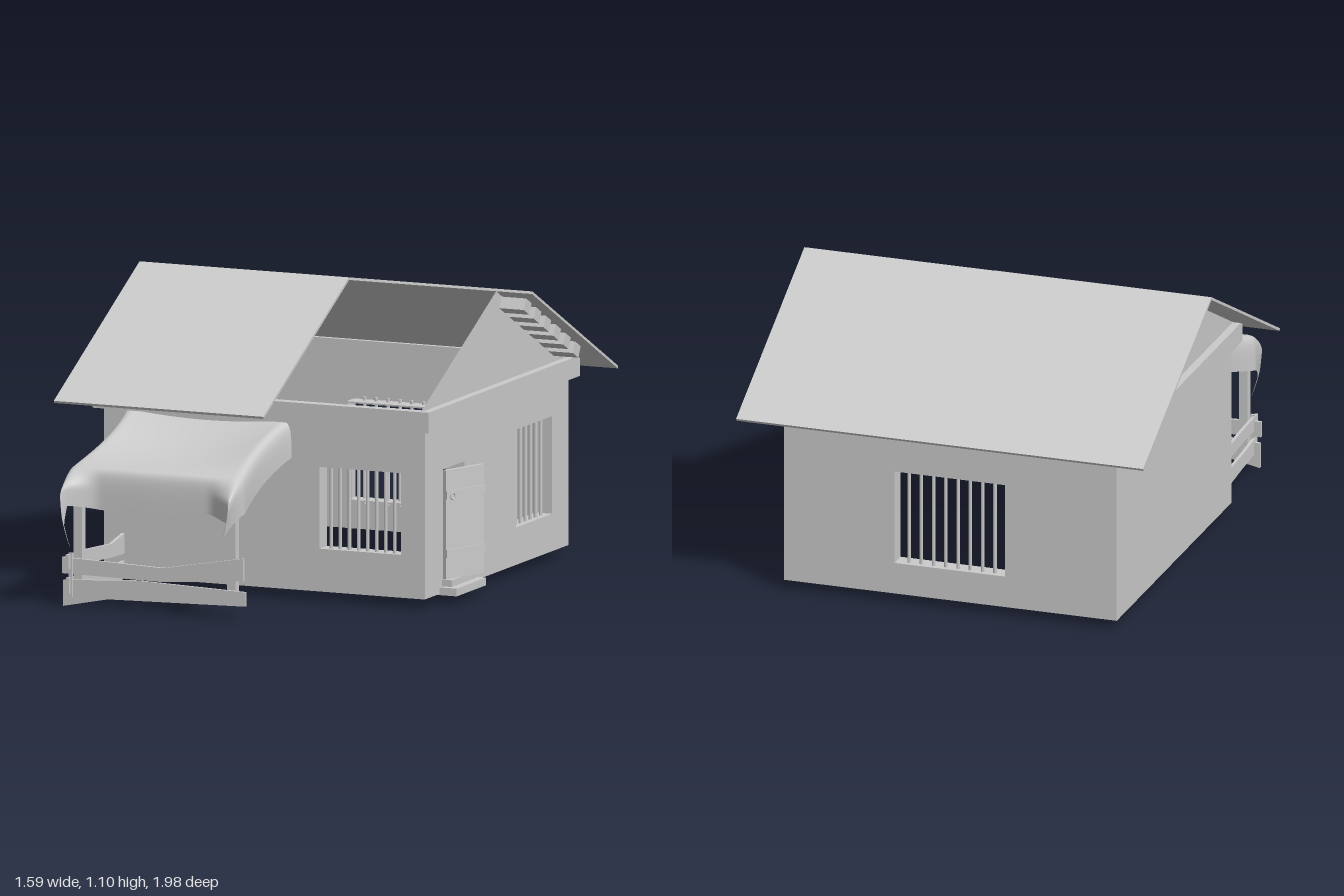
import * as THREE from 'three';

const mat = new THREE.MeshStandardMaterial({ color: 0xcccccc, side: THREE.DoubleSide });

function add(parent, name, geo, x = 0, y = 0, z = 0) {
  const m = new THREE.Mesh(geo, mat);
  m.name = name;
  m.position.set(x, y, z);
  parent.add(m);
  return m;
}

// box given by its min and max corners
function box(parent, name, x0, x1, y0, y1, z0, z1) {
  return add(parent, name, new THREE.BoxGeometry(x1 - x0, y1 - y0, z1 - z0),
    (x0 + x1) / 2, (y0 + y1) / 2, (z0 + z1) / 2);
}

function polygon(points) {
  return new THREE.Shape(points.map(p => new THREE.Vector2(...p)));
}
const rect = (x0, x1, y0, y1) => [[x0, y0], [x1, y0], [x1, y1], [x0, y1]];

// thin wall in its own xy plane (outside = +z) with framed openings
function wall(parent, name, x0, x1, openings = []) {
  const g = new THREE.Group();
  g.name = name;
  parent.add(g);
  const shape = polygon(rect(x0, x1, 0.04, 0.68));
  for (const o of openings) {
    const [a, b, c, d] = o.rect, t = 0.006, depth = 0.068;
    shape.holes.push(polygon(rect(a, b, c, d)));
    box(g, 'frameLeft', a - t, a, c - t, d + t, -depth, 0);
    box(g, 'frameRight', b, b + t, c - t, d + t, -depth, 0);
    box(g, 'frameBottom', a, b, c - t, c, -depth, 0);
    box(g, 'frameTop', a, b, d, d + t, -depth, 0);
    for (let i = 1; i <= o.bars; i++) {
      const x = a + (b - a) * i / (o.bars + 1);
      add(g, 'windowBar', new THREE.CylinderGeometry(0.007, 0.007, d - c + 0.04, 8), x, (c + d) / 2, -0.025);
    }
  }
  add(g, 'wallPanel', new THREE.ShapeGeometry(shape));
  return g;
}

// uneven plank from an outline, in the xy plane
function plank(parent, name, outline, thickness) {
  const geo = new THREE.ExtrudeGeometry(polygon(outline), { depth: thickness, bevelEnabled: false });
  return add(parent, name, geo);
}

// cloth laid over a sloping frame, hanging over all of its edges
function awningGeometry() {
  const NU = 64, NV = 64, half = 0.325, over = 0.16, cx = -0.235, back = 0.32, front = 0.865;
  const geo = new THREE.PlaneGeometry(1, 1, NU, NV);
  const p = geo.attributes.position;
  const r = 0.03;
  const out = d => r * (1 - Math.exp(-d / r));
  for (let i = 0; i < p.count; i++) {
    const a = p.getX(i) * 2 * (half + over);
    const b = (back - 0.10) + (0.5 - p.getY(i)) * (front + 0.17 - back + 0.10);
    const s = Math.sign(a), u = Math.min(Math.abs(a) / half, 1);
    const da = Math.max(0, Math.abs(a) - half);
    const df = Math.max(0, b - front), db = Math.max(0, back - b);
    const zc = THREE.MathUtils.clamp(b, back, front);
    const v = (zc - back) / (front - back);
    const corner = THREE.MathUtils.smoothstep(Math.abs(a), half * 0.66, half + 0.05);
    const waist = 0.03 * Math.sin(Math.PI * Math.min(1, v)) * u;
    const inner = THREE.MathUtils.smoothstep(v, 0, 0.25);
    const x = cx + s * (u * half - waist + out(da) * (1 + 0.5 * (1 - inner)) - 0.35 * df * da / over);
    const z = zc + out(df) * (1 + 2.9 * corner * Math.min(1, df / 0.09)) - out(db) * 1.2;
    const top = 0.668 - 0.31 * Math.max(0, zc - 0.41);
    const sag = 0.035 * (1 - u * u) * Math.sin(Math.PI * v);
    const fall = (d, o) => Math.max(0, d - o * 0.8);
    const hem = 1 + 0.06 * Math.sin(a * 24) * (df > 0 ? 1 : 0);
    const y = top - sag - fall(da, out(da)) - fall(df, out(df)) * hem - fall(db, out(db));
    p.setXYZ(i, x, y, z);
  }
  geo.computeVertexNormals();
  return geo;
}

export function createModel() {
  const house = new THREE.Group();
  house.name = 'house';

  // walls, open at top and bottom
  wall(house, 'frontWall', -0.65, 0.645, [{ rect: [0.22, 0.55, 0.2, 0.505], bars: 8 }]).position.z = 0.415;
  const right = wall(house, 'rightWall', -0.415, 0.875, [
    { rect: [0.405, 0.725, 0.18, 0.545], bars: 6 },
    { rect: [-0.25, -0.06, 0.09, 0.5], bars: 0 }]);
  right.rotation.y = Math.PI / 2;
  right.position.x = 0.645;
  const rear = wall(house, 'backWall', -0.645, 0.65, [{ rect: [-0.215, 0.215, 0.16, 0.52], bars: 8 }]);
  rear.rotation.y = Math.PI;
  rear.position.z = -0.875;
  const left = wall(house, 'leftWall', -0.875, 0.415);
  left.rotation.y = -Math.PI / 2;
  left.position.x = -0.65;

  // ring beam on top of the walls
  const ring = polygon(rect(-0.68, 0.675, -0.45, 0.91));
  ring.holes.push(polygon(rect(-0.645, 0.64, -0.41, 0.87)));
  const beam = add(house, 'ringBeam', new THREE.ExtrudeGeometry(ring, { depth: 0.077, bevelEnabled: false }), 0, 0.668, 0);
  beam.rotation.x = -Math.PI / 2;

  // gables
  for (const x of [-0.65, 0.645]) {
    const gable = add(house, 'gable', new THREE.ShapeGeometry(polygon([[-0.45, 0.745], [0.905, 0.745], [0.225, 1.09]])), x, 0, 0);
    gable.rotation.y = Math.PI / 2;
  }

  // roof slopes, the front one covering only part of the house
  const slope = Math.atan2(0.4, 0.77), length = 0.866;
  function roof(name, x0, x1, dir) {
    const m = add(house, name, new THREE.BoxGeometry(x1 - x0, 0.01, length),
      (x0 + x1) / 2, 0.895, -0.228 + dir * 0.383);
    m.rotation.x = dir * slope;
  }
  roof('backRoof', -0.795, 0.79, -1);
  roof('frontRoof', -0.795, 0.05, 1);

  // purlin ends under the back slope
  for (let i = 0; i < 6; i++) {
    const m = add(house, 'purlinEnd', new THREE.BoxGeometry(0.105, 0.045, 0.055), 0.692, 1.03 - i * 0.046, -0.287 - i * 0.088);
    m.rotation.x = -slope;
  }

  // door standing ajar, with straps and ring handle
  const door = new THREE.Group();
  door.name = 'door';
  door.position.set(0.65, 0, 0.25);
  door.rotation.y = Math.PI / 2 - 0.35;
  house.add(door);
  box(door, 'doorPanel', 0, 0.2, 0.09, 0.497, -0.008, 0.008);
  for (const y of [0.405, 0.185]) box(door, 'doorStrap', 0.0, 0.203, y - 0.015, y + 0.015, -0.013, 0.013);
  add(door, 'doorRing', new THREE.TorusGeometry(0.012, 0.003, 6, 16), 0.028, 0.4, 0.016);

  // door steps
  box(house, 'lowerStep', 0.595, 0.715, 0.036, 0.065, 0.02, 0.285);
  box(house, 'upperStep', 0.6, 0.685, 0.065, 0.09, 0.045, 0.26);

  // awning and its posts
  add(house, 'awningCloth', awningGeometry());
  for (const x of [-0.547, 0.072]) box(house, 'awningPost', x - 0.017, x + 0.017, 0.05, 0.5, 0.845, 0.876);

  // crooked fence planks along the front and the left side
  const fence = new THREE.Group();
  fence.name = 'fence';
  house.add(fence);
  plank(fence, 'frontUpperPlank', [[-0.605, 0.125], [-0.2, 0.12], [0.125, 0.145], [0.125, 0.23], [-0.2, 0.172], [-0.605, 0.185]], 0.012).position.z = 0.878;
  plank(fence, 'frontLowerPlank', [[-0.6, 0.003], [-0.42, 0.04], [0.135, 0.052], [0.135, 0.105], [-0.3, 0.118], [-0.6, 0.1]], 0.012).position.z = 0.878;
  box(fence, 'fenceStake', -0.575, -0.56, 0.04, 0.205, 0.89, 0.9);
  const sides = {
    leftUpperPlank: [[-0.92, 0.145], [-0.75, 0.145], [-0.55, 0.13], [-0.4, 0.125], [-0.4, 0.205], [-0.53, 0.18], [-0.75, 0.195], [-0.92, 0.2]],
    leftLowerPlank: [[-0.915, 0.055], [-0.75, 0.045], [-0.53, 0.025], [-0.395, 0.035], [-0.395, 0.1], [-0.55, 0.09], [-0.75, 0.1], [-0.915, 0.115]],
  };
  for (const [name, outline] of Object.entries(sides)) {
    const m = plank(fence, name, outline, 0.012);
    m.rotation.y = Math.PI / 2;
    m.position.x = -0.578;
  }
  return house;
}
